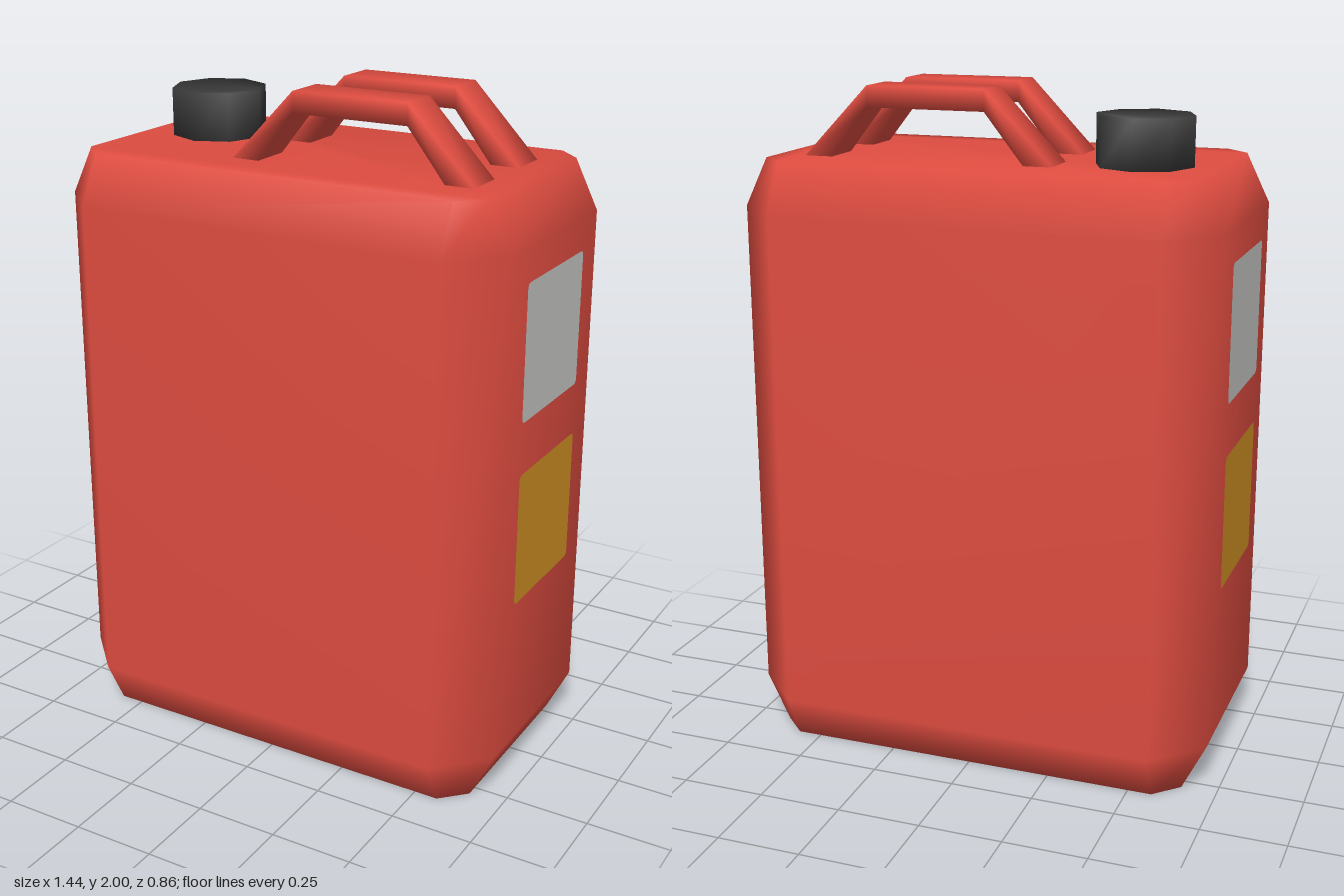
import * as THREE from 'three';

const flat = (name, color) => {
  const m = new THREE.MeshStandardMaterial({ color });
  m.name = name;
  return m;
};

// Smooth skin over closed rings of points, capped at both ends.
// Groups: 0 = sides and end cap, 1 = start cap.
function loft(rings) {
  const n = rings[0].length;
  const sides = [], start = [];
  for (let i = 0; i < rings.length - 1; i++) {
    for (let j = 0; j < n; j++) {
      const a = i * n + j, b = i * n + (j + 1) % n;
      sides.push(a, b, b + n, a, b + n, a + n);
    }
  }
  const last = (rings.length - 1) * n;
  for (let j = 1; j < n - 1; j++) {
    sides.push(last, last + j, last + j + 1);
    start.push(0, j + 1, j);
  }
  const g = new THREE.BufferGeometry();
  g.setAttribute('position', new THREE.Float32BufferAttribute(rings.flat(2), 3));
  g.setIndex([...sides, ...start]);
  g.addGroup(0, sides.length, 0);
  g.addGroup(sides.length, start.length, 1);
  g.computeVertexNormals();
  return g;
}

// Rectangle with clipped corners at height y
function octagon(x, z, y) {
  const cx = 0.572, cz = 0.286;
  return [[x, y, cz], [x, y, -cz], [cx, y, -z], [-cx, y, -z],
    [-x, y, -cz], [-x, y, cz], [-cx, y, z], [cx, y, z]];
}

// Rounded label outline
function labelShape(w, h, r) {
  const s = new THREE.Shape();
  s.moveTo(-w + r, -h);
  s.lineTo(w - r, -h).quadraticCurveTo(w, -h, w, -h + r);
  s.lineTo(w, h - r).quadraticCurveTo(w, h, w - r, h);
  s.lineTo(-w + r, h).quadraticCurveTo(-w, h, -w, h - r);
  s.lineTo(-w, -h + r).quadraticCurveTo(-w, -h, -w + r, -h);
  return s;
}

export function createModel() {
  const red = flat('red plastic', 0xde4c40);
  const grey = flat('light grey', 0xc8c8c6);
  const yellow = flat('yellow', 0xd19024);
  const black = flat('black plastic', 0x383838);

  const model = new THREE.Group();
  model.name = 'fuelCan';
  const add = (name, geometry, material, x = 0, y = 0, z = 0) => {
    const mesh = new THREE.Mesh(geometry, material);
    mesh.name = name;
    mesh.position.set(x, y, z);
    model.add(mesh);
    return mesh;
  };

  // Chamfered body with a pale underside
  add('body', loft([
    octagon(0.644, 0.358, 0),
    octagon(0.715, 0.43, 0.143),
    octagon(0.715, 0.43, 1.65),
    octagon(0.644, 0.358, 1.793),
  ]), [red, grey]);

  // Screw cap, smooth across its eight sides
  const capRing = y => Array.from({ length: 8 }, (_, i) => {
    const a = i * Math.PI / 4;
    return [0.143 * Math.cos(a), y, -0.143 * Math.sin(a)];
  });
  add('cap', loft([capRing(0), capRing(0.145)]), [black, black], -0.43, 1.79, -0.073);

  // Two bent carrying handles: [outer x, outer y, inner x, inner y]
  const bends = [[-0.208, 1.785, -0.122, 1.785], [0, 2, 0, 1.938],
    [0.357, 2, 0.357, 1.938], [0.565, 1.785, 0.478, 1.785]];
  const w = 0.064;
  const handle = loft(bends.map(([ox, oy, ix, iy]) =>
    [[ox, oy, -w], [ox, oy, w], [ix, iy, w], [ix, iy, -w]]));
  add('frontHandle', handle, [red, red], 0, 0, 0.141);
  add('backHandle', handle, [red, red], 0, 0, -0.144);

  // A pair of labels on each narrow side
  const label = new THREE.ShapeGeometry(labelShape(0.191, 0.2, 0.018), 4);
  for (const side of [-1, 1]) {
    const end = side > 0 ? 'left' : 'right';
    add(end + 'UpperLabel', label, grey, side * 0.718, 1.355, 0).rotation.y = side * Math.PI / 2;
    add(end + 'LowerLabel', label, yellow, side * 0.718, 0.8, 0).rotation.y = side * Math.PI / 2;
  }
  return model;
}
